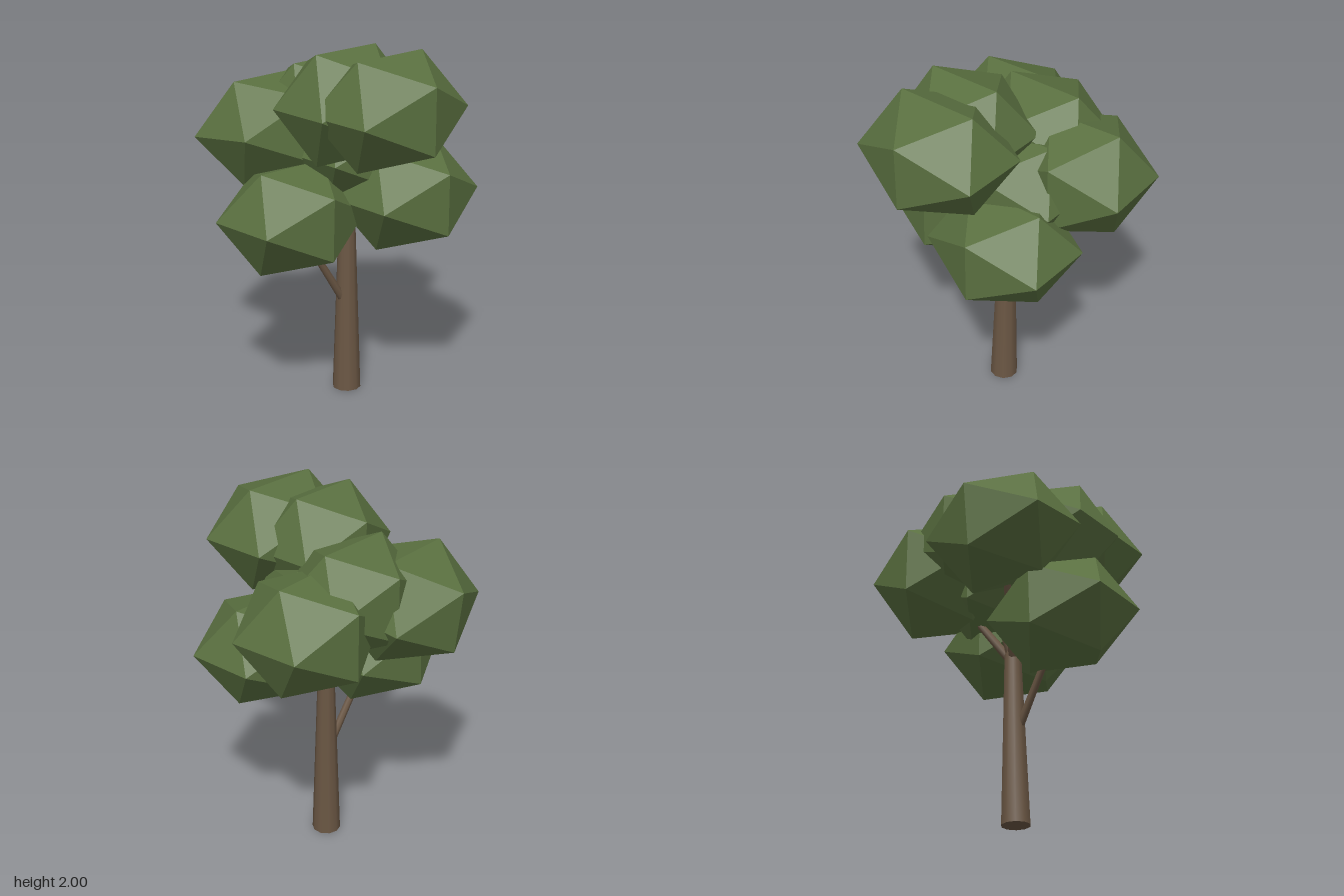
import * as THREE from 'three';

export function createModel() {
  const tree = new THREE.Group();
  tree.name = 'tree';
  const bark = new THREE.MeshStandardMaterial({ color: 0x6b5744 });
  const leaf = new THREE.MeshStandardMaterial({ color: 0x5a7040, flatShading: true });
  const v = (p) => new THREE.Vector3(...p);

  // Tapered round limb between two points
  function limb(name, from, to, r0, r1, sides) {
    const a = v(from), b = v(to), dir = b.clone().sub(a);
    const mesh = new THREE.Mesh(new THREE.CylinderGeometry(r1, r0, dir.length(), sides), bark);
    mesh.position.copy(a).add(b).multiplyScalar(0.5);
    mesh.quaternion.setFromUnitVectors(new THREE.Vector3(0, 1, 0), dir.normalize());
    mesh.name = name;
    tree.add(mesh);
  }

  // Squashed icosahedron leaf clumps: name, centre, radii, tilt
  const clumps = [
    ['frontTop', [-0.09, 1.715, 0.415], [0.437, 0.335, 0.375], [0, 0, 0]],
    ['middleTop', [-0.14, 1.705, 0.145], [0.4, 0.345, 0.355], [0, 0, 0]],
    ['backTop', [0.07, 1.575, -0.25], [0.42, 0.335, 0.355], [0, 0, 0]],
    ['backRight', [-0.21, 1.495, -0.385], [0.43, 0.335, 0.39], [-0.12, 0.04, 0]],
    ['backLeft', [0.367, 1.46, -0.2], [0.405, 0.35, 0.385], [0, 0.05, 0]],
    ['centre', [0.09, 1.4, 0], [0.42, 0.33, 0.375], [0, 0, 0]],
    ['lowLeft', [0.205, 1.175, 0.25], [0.425, 0.323, 0.375], [0, 0, 0]],
    ['lowRight', [-0.355, 1.09, -0.05], [0.425, 0.325, 0.375], [0, 0.04, -0.03]],
  ];
  const centre = {};
  for (const [name, pos, radii, tilt] of clumps) {
    const geometry = new THREE.IcosahedronGeometry(1, 0).scale(...radii);
    const mesh = new THREE.Mesh(geometry, leaf);
    mesh.position.set(...pos);
    mesh.rotation.set(...tilt);
    mesh.name = name + 'Foliage';
    tree.add(mesh);
    centre[name] = pos;
  }

  // Trunk, leaning slightly
  limb('trunk', [0, 0, 0], [0.015, 1.15, -0.012], 0.08, 0.042, 10);

  // Branches running from the trunk into the clumps
  limb('lowRightBranch', [0, 0.5, 0], centre.lowRight, 0.024, 0.016, 7);
  for (const name of ['frontTop', 'middleTop', 'backTop', 'backRight', 'backLeft']) {
    limb(name + 'Branch', [0.01, 0.92, -0.01], centre[name], 0.026, 0.016, 7);
  }
  return tree;
}
